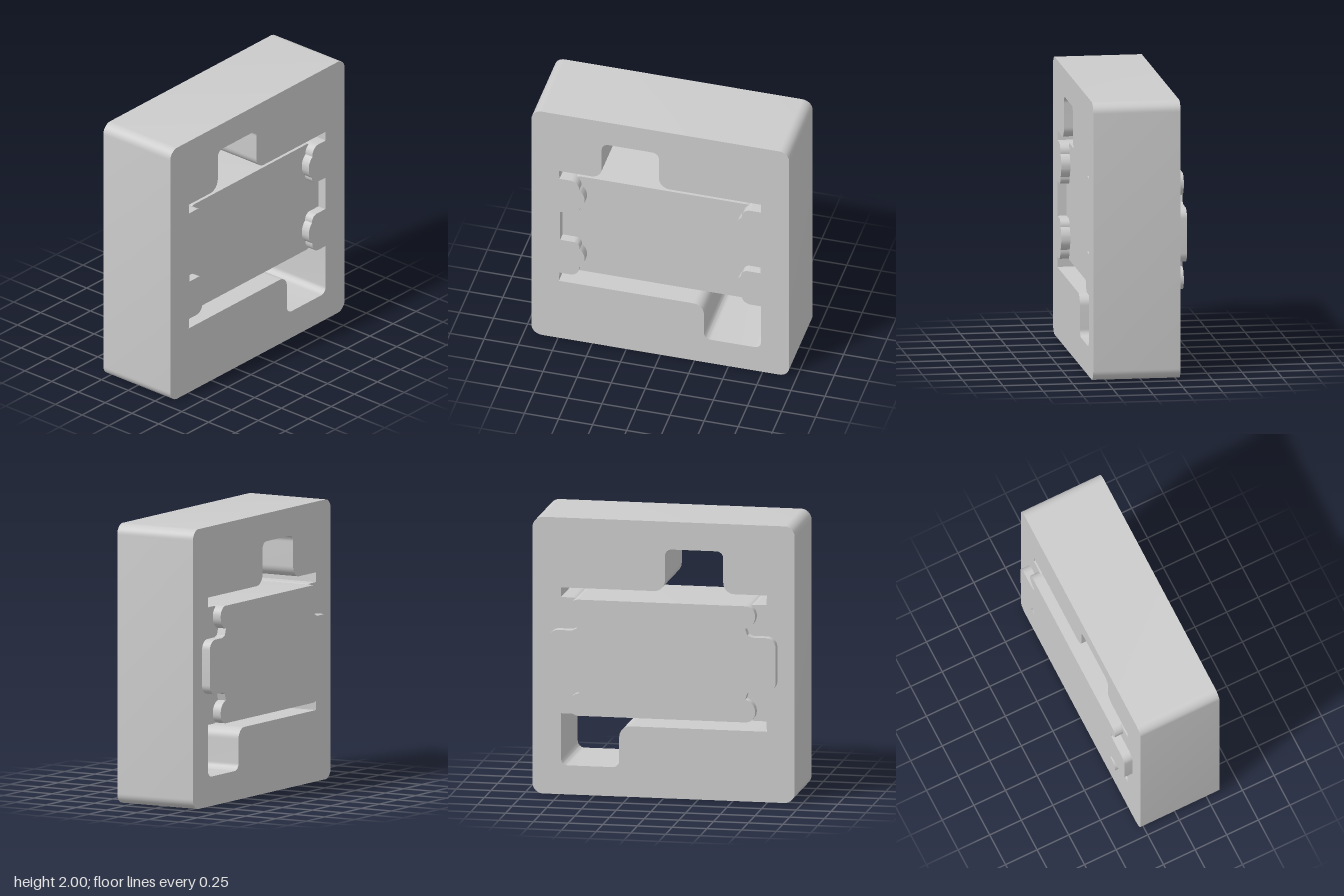
import * as THREE from 'three';
import { toCreasedNormals } from 'three/addons/utils/BufferGeometryUtils.js';

const DEPTH = 0.625;
const MID = 1.005; // height the puzzle edges mirror about

// Trace a closed polygon of [x, y, cornerRadius] points with rounded corners.
function trace(path, pts) {
  const n = pts.length;
  pts.forEach(([x, y, r = 0], i) => {
    const toward = ([px, py], d) => {
      const l = Math.hypot(px - x, py - y);
      return [x + ((px - x) * d) / l, y + ((py - y) * d) / l];
    };
    const prev = pts[(i + n - 1) % n];
    const next = pts[(i + 1) % n];
    const a = toward(prev, r);
    if (i === 0) path.moveTo(...a);
    else path.lineTo(...a);
    if (r > 0) path.bezierCurveTo(...toward(prev, r * 0.45), ...toward(next, r * 0.45), ...toward(next, r));
  });
  path.closePath();
  return path;
}

const flipX = (pts) => pts.map(([x, y, r]) => [-x, y, r]).reverse();
const flipY = (pts) => pts.map(([x, y, r]) => [x, 2 * MID - y, r]).reverse();

function slab(name, shape, zBack, material) {
  const geo = new THREE.ExtrudeGeometry(shape, { depth: DEPTH, bevelEnabled: false, curveSegments: 10 });
  const mesh = new THREE.Mesh(toCreasedNormals(geo, 0.6), material);
  mesh.name = name;
  mesh.position.z = zBack;
  return mesh;
}

export function createModel() {
  const group = new THREE.Group();
  group.name = 'interlockingBlock';
  const material = new THREE.MeshStandardMaterial({ color: 0xcccccc });

  // Lobed gripping edge of the opening, right side, top to bottom
  const gripTop = [
    [0.74, 1.425], [0.592, 1.425, 0.07], [0.597, 1.35], [0.556, 1.32, 0.045],
    [0.556, 1.215, 0.045], [0.592, 1.185], [0.592, 1.13, 0.05], [0.735, 1.13],
  ];
  const grip = [...gripTop, ...flipY(gripTop)];

  // Opening with a notch above and a notch below
  const opening = [
    [-0.745, 1.495], [-0.43, 1.495, 0.08], [-0.43, 1.8, 0.05], [-0.01, 1.8, 0.05],
    [-0.01, 1.495, 0.08], [0.74, 1.495],
    ...grip,
    [0.74, 0.21, 0.05], [0.32, 0.21, 0.05], [0.32, 0.51, 0.08], [-0.745, 0.51],
    ...flipX(grip),
  ];

  // Outer frame
  const frame = trace(new THREE.Shape(), [
    [-0.945, 0, 0.075], [0.945, 0, 0.075], [0.945, 2, 0.075], [-0.945, 2, 0.075],
  ]);
  frame.holes.push(trace(new THREE.Path(), opening));
  group.add(slab('frame', frame, -0.28, material));

  // Sliding core: lobed corners and a rounded side tab, set back from the frame
  const coreTop = [
    [0.672, 1.425, 0.07], [0.672, 1.275, 0.07], [0.6, 1.262],
    [0.615, 1.215], [0.65, 1.2], [0.82, 1.2, 0.07],
  ];
  const coreSide = [...coreTop, ...flipY(coreTop)];
  const core = trace(new THREE.Shape(), [...coreSide, ...flipX(coreSide)]);
  group.add(slab('slidingCore', core, -0.345, material));

  return group;
}
